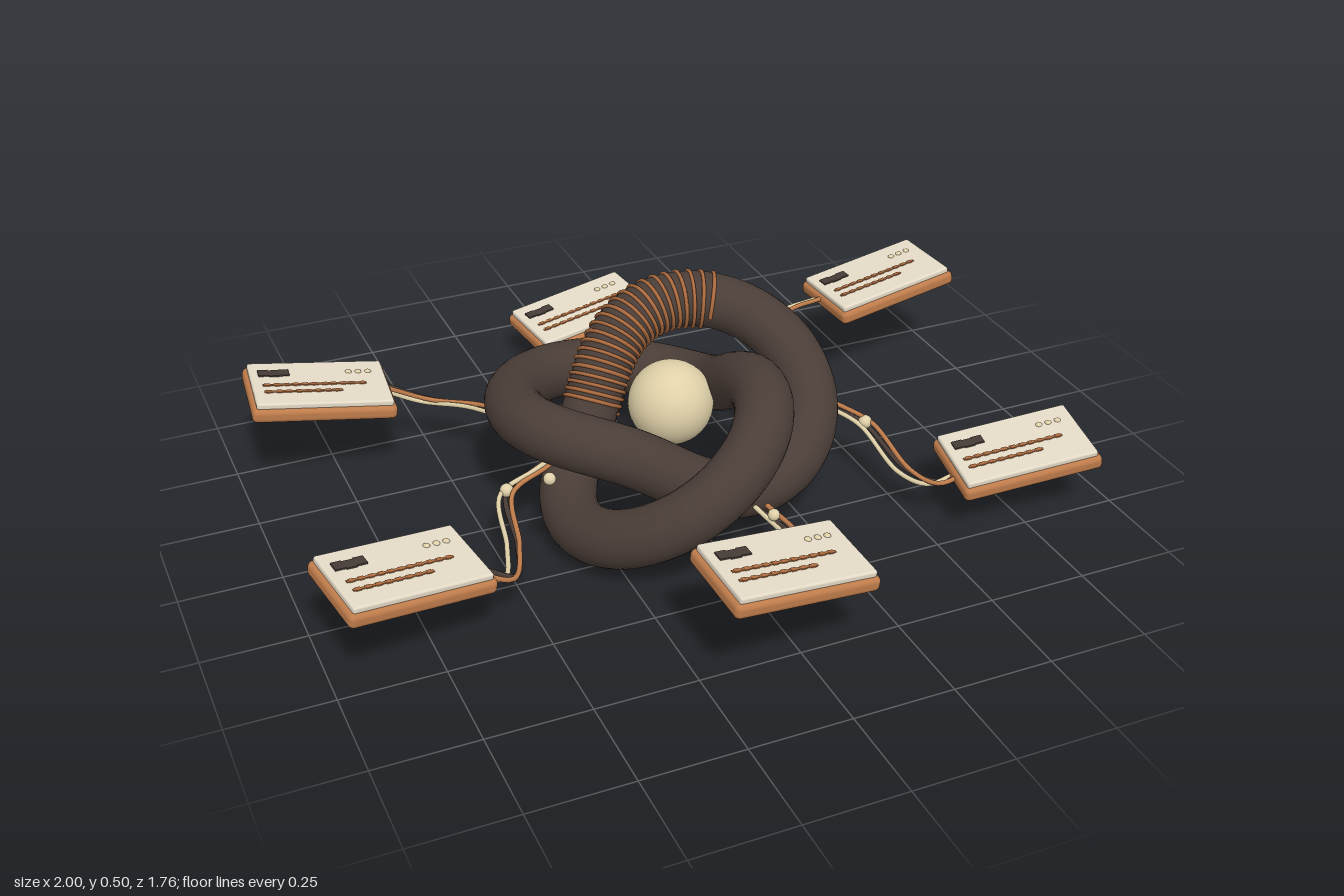
import * as THREE from 'three';
import { RoundedBoxGeometry } from 'three/addons/geometries/RoundedBoxGeometry.js';

const mat = (name, color) => {
  const m = new THREE.MeshStandardMaterial({ color });
  m.name = name;
  return m;
};
const V = (x, y, z) => new THREE.Vector3(x, y, z);

// Three-lobed knot: radius and height swing three times over two turns
const MID = 0.29, SWING = 0.093, RISE = 0.112, TUBE = 0.071, TURN = THREE.MathUtils.degToRad(8);
function knotPoint(u) {
  const r = MID + SWING * Math.cos(1.5 * u);
  return V(r * Math.cos(u + TURN), RISE * Math.sin(1.5 * u), -r * Math.sin(u + TURN));
}
class KnotCurve extends THREE.Curve {
  getPoint(t) { return knotPoint(t * 4 * Math.PI); }
}
// Wire wound round one stretch of the knot
class CoilCurve extends THREE.Curve {
  constructor(start, end, turns, radius) {
    super();
    Object.assign(this, { start, end, turns, radius });
  }
  getPoint(t) {
    const u = THREE.MathUtils.lerp(this.start, this.end, t);
    const p = knotPoint(u);
    const tangent = knotPoint(u + 0.01).sub(knotPoint(u - 0.01)).normalize();
    const side = V(0, 1, 0).cross(tangent).normalize();
    const up = tangent.clone().cross(side);
    const a = t * this.turns * 2 * Math.PI;
    return p.addScaledVector(side, this.radius * Math.cos(a)).addScaledVector(up, this.radius * Math.sin(a));
  }
}

export function createModel() {
  const model = new THREE.Group();
  model.name = 'knotWithTablets';
  const dark = mat('dark rubber', 0x4a3d37);
  const copper = mat('copper', 0xbf7c4b);
  const wire = mat('copper wire', 0xae6c3f);
  const plate = mat('pale plate', 0xe4dac7);
  const ivory = mat('ivory', 0xdfd0a8);
  const chipMat = mat('chip', 0x453b36);

  const add = (parent, name, geo, material, x = 0, y = 0, z = 0) => {
    const m = new THREE.Mesh(geo, material);
    m.name = name;
    m.position.set(x, y, z);
    parent.add(m);
    return m;
  };

  // Tilted knot with its copper winding
  const knot = new THREE.Group();
  knot.name = 'knot';
  knot.position.set(-0.038, 0.237, 0.05);
  knot.quaternion.setFromUnitVectors(V(0, 1, 0), V(-0.2, 1, 0.16).normalize());
  model.add(knot);
  add(knot, 'knotTube', new THREE.TubeGeometry(new KnotCurve(), 300, TUBE, 28, true), dark);
  const coil = new CoilCurve(0.6, 2.2, 22, TUBE + 0.001);
  add(knot, 'winding', new THREE.TubeGeometry(coil, 700, 0.005, 6), wire);

  // Core ball
  add(model, 'coreBall', new THREE.SphereGeometry(0.107, 40, 28), ivory, 0, 0.248, 0.013);

  // Tablets: [x, y, z, turn, pitch, roll]
  const W = 0.362, D = 0.228;
  const tablets = [
    [0.055, 0.122, -0.748, 8, 0.06, 0.11],
    [0.813, 0.235, -0.404, 4, 0.02, 0.14],
    [0.768, 0.14, 0.408, -8.5, 0.07, 0.14],
    [-0.047, 0.237, 0.751, 3, 0.06, -0.11],
    [-0.802, 0.19, 0.382, 10, 0.06, -0.14],
    [-0.78, 0.228, -0.425, -5.5, 0.05, -0.14],
  ];
  const baseGeo = new RoundedBoxGeometry(W, 0.038, D, 3, 0.014);
  const faceGeo = new RoundedBoxGeometry(W - 0.02, 0.018, D - 0.02, 2, 0.006);
  const cellGeo = new THREE.BoxGeometry(0.026, 0.006, 0.028);
  const dashGeo = new THREE.BoxGeometry(0.013, 0.004, 0.011);
  const lampGeo = new THREE.SphereGeometry(0.0085, 14, 8, 0, Math.PI * 2, 0, Math.PI / 2).scale(1, 0.6, 1);
  tablets.forEach(([x, y, z, turn, pitch, roll]) => {
    const t = new THREE.Group();
    t.name = 'tablet';
    t.position.set(x, y, z);
    t.rotation.set(pitch, THREE.MathUtils.degToRad(turn), roll, 'XZY');
    model.add(t);
    add(t, 'tabletBase', baseGeo, copper, 0, -0.008, 0);
    add(t, 'tabletFace', faceGeo, plate, 0, 0.016, 0);
    const top = 0.026;
    for (let i = 0; i < 3; i++) {
      add(t, 'chipCell', cellGeo, chipMat, -0.137 + i * 0.026, top, -0.046 + (i % 2) * 0.003);
      add(t, 'lamp', lampGeo, ivory, 0.079 + i * 0.025, top - 0.001, -0.047);
    }
    // Two tracks, each a strip with raised pads
    [[0.012, 11, 0.26], [0.045, 8, 0.195]].forEach(([dz, n, len]) => {
      add(t, 'track', new THREE.BoxGeometry(len, 0.003, 0.007), wire, -0.145 + len / 2, top, dz);
      for (let i = 0; i < n; i++) {
        add(t, 'trackPad', dashGeo, wire, -0.145 + (i + 0.5) * len / n, top, dz);
      }
    });
  });

  // Cable bundles from the knot to each tablet
  const cables = [
    [[-0.12, 0.22, -0.25], [-0.135, 0.13, -0.38], [-0.125, 0.09, -0.48], [-0.08, 0.08, -0.56], [0.04, 0.1, -0.64]],
    [[0.2, 0.2, -0.17], [0.31, 0.16, -0.18], [0.42, 0.13, -0.215], [0.46, 0.11, -0.38], [0.54, 0.17, -0.44], [0.65, 0.205, -0.42]],
    [[0.34, 0.22, 0.06], [0.42, 0.18, 0.1], [0.485, 0.14, 0.14], [0.51, 0.09, 0.31], [0.55, 0.09, 0.39], [0.63, 0.11, 0.4]],
    [[0.06, 0.13, 0.24], [0.1, 0.1, 0.34], [0.115, 0.1, 0.46], [0.085, 0.13, 0.58], [0.01, 0.21, 0.66]],
    [[-0.28, 0.17, 0.0], [-0.36, 0.15, 0.03], [-0.455, 0.13, 0.07], [-0.5, 0.1, 0.25], [-0.55, 0.1, 0.37], [-0.64, 0.155, 0.385]],
    [[-0.2, 0.16, -0.18], [-0.33, 0.16, -0.22], [-0.41, 0.14, -0.35], [-0.5, 0.13, -0.435], [-0.62, 0.2, -0.43]],
  ];
  cables.forEach((pts) => {
    const points = pts.map((p) => V(...p));
    [copper, ivory, dark].forEach((m, i) => {
      // Strands fan apart mid-run and braid slightly
      const path = points.map((p, j) => {
        const a = i * 2.1 + j * 0.4;
        return p.clone().add(V(0.018 * Math.cos(a), 0.009 * Math.sin(a), 0.018 * Math.sin(a)));
      });
      add(model, 'cableStrand', new THREE.TubeGeometry(new THREE.CatmullRomCurve3(path), 40, 0.0062, 8), m);
    });
  });

  // Beads on the cables and two floating ones
  const beads = [
    [-0.08, 0.085, -0.56, 0.013], [0.418, 0.135, -0.215, 0.016], [0.485, 0.145, 0.14, 0.018],
    [-0.455, 0.135, 0.068, 0.017], [0.1, 0.12, 0.4, 0.015],
    [0.343, 0.3, -0.335, 0.011], [-0.417, 0.28, 0.277, 0.015],
  ];
  beads.forEach(([x, y, z, r]) => add(model, 'bead', new THREE.SphereGeometry(r, 16, 12), ivory, x, y, z));

  return model;
}
